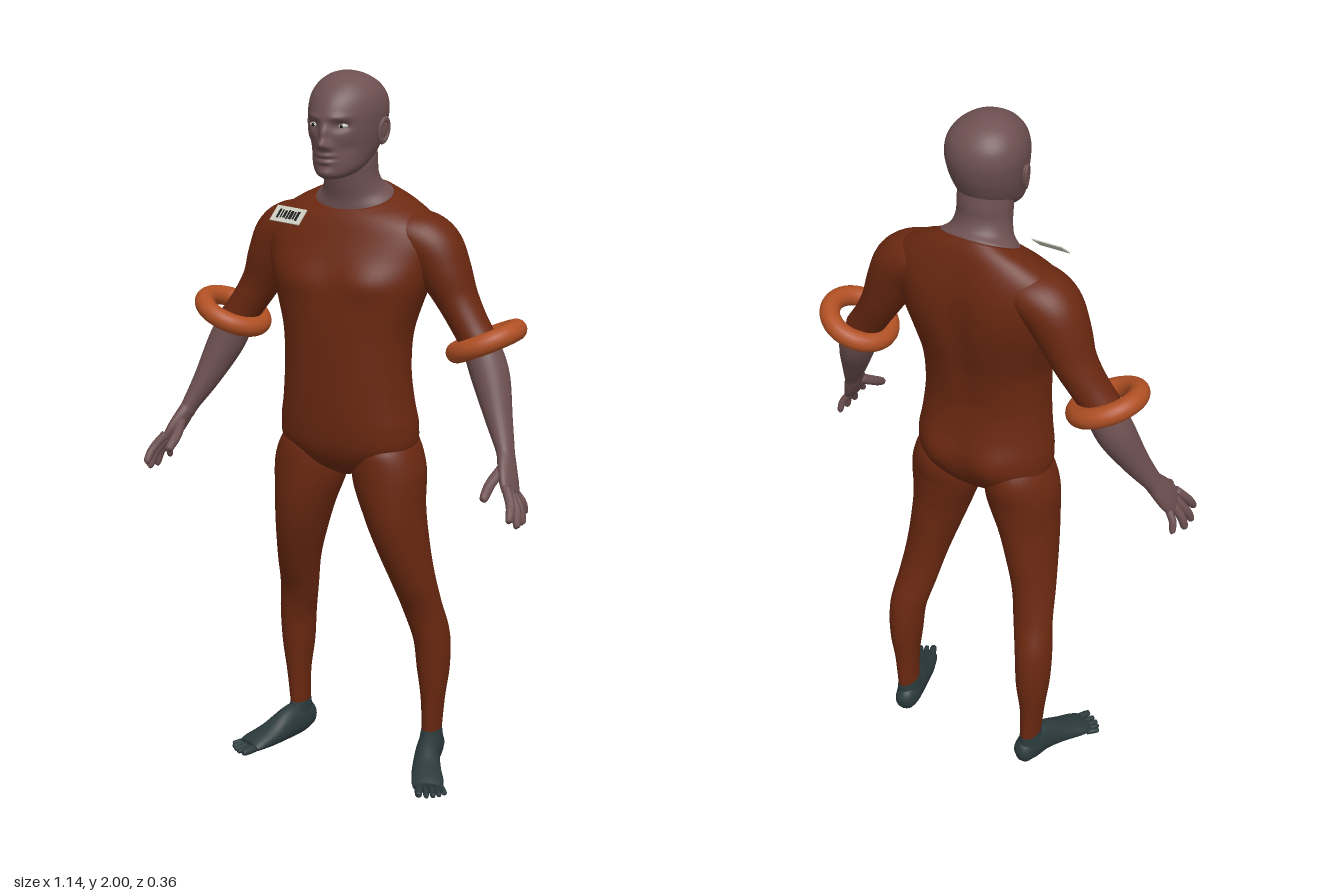
import * as THREE from 'three';

const mat = (name, color) => Object.assign(new THREE.MeshStandardMaterial({ color }), { name });

// Catmull-Rom interpolation of rows of section numbers
function smooth(rows, steps) {
  const out = [];
  const last = rows.length - 1;
  for (let i = 0; i < last; i++) {
    const [p, a, b, n] = [rows[Math.max(i - 1, 0)], rows[i], rows[i + 1], rows[Math.min(i + 2, last)]];
    for (let k = 0; k < steps; k++) {
      const t = k / steps;
      out.push(a.map((v, j) => {
        const quad = 2 * p[j] - 5 * v + 4 * b[j] - n[j];
        const cubic = 3 * (v - b[j]) + n[j] - p[j];
        return v + 0.5 * t * (b[j] - p[j] + t * (quad + t * cubic));
      }));
    }
  }
  out.push(rows[last]);
  return out;
}

// Closed smooth skin over rings of points, with a cap at each end
function skinRings(rings) {
  const n = rings[0].length, pos = [], idx = [];
  rings.forEach(r => r.forEach(p => pos.push(p.x, p.y, p.z)));
  for (let i = 0; i < rings.length - 1; i++) {
    for (let j = 0; j < n; j++) {
      const a = i * n + j, b = i * n + (j + 1) % n;
      idx.push(a, b, a + n, b, b + n, a + n);
    }
  }
  [0, rings.length - 1].forEach((r, end) => {
    const c = rings[r].reduce((s, p) => s.add(p), new THREE.Vector3()).divideScalar(n);
    const ci = pos.length / 3;
    pos.push(c.x, c.y, c.z);
    for (let j = 0; j < n; j++) {
      const a = r * n + j, b = r * n + (j + 1) % n;
      idx.push(...(end ? [ci, a, b] : [ci, b, a]));
    }
  });
  const g = new THREE.BufferGeometry();
  g.setAttribute('position', new THREE.Float32BufferAttribute(pos, 3));
  g.setIndex(idx);
  g.computeVertexNormals();
  return g;
}

// Upright form; rows are [y, halfWidth, frontZ, backZ, tilt, taper]
function upright(rows, sides, steps, e = 1) {
  const pw = v => Math.sign(v) * Math.abs(v) ** e;
  return skinRings(smooth(rows, steps).map(([y, w, f, b, tilt, taper]) =>
    Array.from({ length: sides }, (_, j) => {
      const t = j / sides * Math.PI * 2, c = pw(Math.cos(t));
      const z = (f + b) / 2 + (f - b) / 2 * c;
      return new THREE.Vector3(w * pw(Math.sin(t)) * (1 - taper * c), y - tilt * (z + 0.05), z);
    })));
}

// Limb along a path; rows are [x, y, z, radiusAcross, radiusAlongRef]
function limb(rows, s = 1, sides = 24, steps = 6, ref = new THREE.Vector3(0, 0, 1), floor = -1) {
  const r = smooth(rows, steps);
  const c = r.map(q => new THREE.Vector3(q[0] * s, q[1], q[2]));
  return skinRings(r.map((q, i) => {
    const T = c[Math.min(i + 1, c.length - 1)].clone().sub(c[Math.max(i - 1, 0)]).normalize();
    const B = ref.clone().addScaledVector(T, -ref.dot(T)).normalize();
    const A = B.clone().cross(T);
    return Array.from({ length: sides }, (_, j) => {
      const t = j / sides * Math.PI * 2;
      const p = c[i].clone().addScaledVector(A, Math.cos(t) * q[3]).addScaledVector(B, Math.sin(t) * q[4]);
      p.y = Math.max(p.y, floor);
      return p;
    });
  }));
}

// Push vertices in z by soft mirrored bumps [x, y, z, radiusX, radiusY, push]
function bump(g, list) {
  const p = g.attributes.position;
  for (let i = 0; i < p.count; i++) {
    const [x, y, z] = [Math.abs(p.getX(i)), p.getY(i), p.getZ(i)];
    let d = 0;
    for (const [bx, by, bz, rx, ry, push] of list) {
      const dist = ((x - bx) / rx) ** 2 + ((y - by) / ry) ** 2 + ((z - bz) / 0.07) ** 2;
      d += push * Math.exp(-dist);
    }
    p.setZ(i, z + d);
  }
  g.computeVertexNormals();
  return g;
}

// Tapered finger or toe between two points, bowed at the middle
function digit(a, b, r, s, bow = 0) {
  const m = a.map((v, i) => (v + b[i]) / 2 + (i === 0 ? bow : 0));
  const e = a.map((v, i) => v + (b[i] - v) * 0.93);
  return limb([[...a, r, r], [...m, r, r], [...e, r * 0.8, r * 0.8], [...b, r * 0.25, r * 0.25]], s, 10, 4);
}

export function createModel() {
  const suit = mat('suit', 0x6a2810), skin = mat('skin', 0x6e5051), shoe = mat('footCover', 0x2b3a3c);
  const band = mat('band', 0xb05024), white = mat('paleWhite', 0xc9c8bb), dark = mat('dark', 0x15181a);
  const root = new THREE.Group();
  const add = (name, g, m, parent = root) => {
    const mesh = new THREE.Mesh(g, m);
    mesh.name = name;
    parent.add(mesh);
    return mesh;
  };

  // Torso, with chest, seat and spine relief
  add('torso', bump(upright([
    [0.895, 0.03, 0.02, -0.07, 0, 0], [0.93, 0.12, 0.07, -0.115, 0, 0], [0.98, 0.19, 0.1, -0.14, 0, 0],
    [1.04, 0.198, 0.112, -0.15, 0, 0], [1.11, 0.187, 0.117, -0.143, 0, 0], [1.2, 0.179, 0.12, -0.135, 0, 0],
    [1.3, 0.182, 0.122, -0.145, 0, 0], [1.38, 0.203, 0.12, -0.162, 0, 0], [1.45, 0.228, 0.108, -0.172, 0, 0],
    [1.52, 0.245, 0.085, -0.175, 0, 0], [1.57, 0.25, 0.066, -0.172, 0.02, 0], [1.61, 0.23, 0.053, -0.163, 0.1, 0],
    [1.645, 0.175, 0.042, -0.148, 0.25, 0], [1.67, 0.112, 0.03, -0.128, 0.4, 0],
  ], 64, 6, 0.88), [
    [0.1, 1.46, 0.1, 0.08, 0.05, 0.016], [0.09, 1.02, -0.14, 0.07, 0.07, -0.02],
    [0, 1.4, -0.17, 0.03, 0.2, 0.012], [0.11, 1.5, -0.17, 0.07, 0.1, -0.008],
  ]), suit);

  // Neck
  add('neck', upright([
    [1.655, 0.118, 0.03, -0.128, 0.4, 0], [1.672, 0.109, 0.03, -0.125, 0.4, 0], [1.695, 0.085, 0.032, -0.108, 0.35, 0],
    [1.73, 0.074, 0.042, -0.097, 0.25, 0], [1.77, 0.073, 0.05, -0.096, 0.1, 0], [1.82, 0.07, 0.05, -0.09, 0, 0],
  ], 48, 6), skin);

  // Head, with facial relief
  const head = new THREE.Group();
  head.name = 'head';
  root.add(head);
  add('skull', bump(upright([
    [1.73, 0.025, 0.115, 0.03, 0, 0], [1.74, 0.048, 0.126, 0, 0, 0.05], [1.76, 0.066, 0.129, -0.04, 0, 0.1],
    [1.79, 0.079, 0.13, -0.082, 0, 0.15], [1.83, 0.091, 0.131, -0.105, 0, 0.18], [1.87, 0.099, 0.131, -0.118, 0, 0.18],
    [1.905, 0.102, 0.126, -0.121, 0, 0.18], [1.94, 0.096, 0.108, -0.112, 0, 0.15], [1.97, 0.076, 0.078, -0.088, 0, 0.1],
    [1.99, 0.046, 0.042, -0.054, 0, 0], [1.998, 0.02, 0.016, -0.024, 0, 0], [2, 0.004, 0.002, -0.006, 0, 0],
  ], 112, 9), [
    [0, 1.822, 0.14, 0.013, 0.013, 0.026], [0, 1.85, 0.14, 0.011, 0.022, 0.014], [0.015, 1.816, 0.14, 0.008, 0.008, 0.008],
    [0.041, 1.868, 0.12, 0.02, 0.013, -0.013], [0.035, 1.89, 0.12, 0.028, 0.008, 0.006],
    [0, 1.793, 0.13, 0.024, 0.006, 0.008], [0, 1.776, 0.13, 0.02, 0.006, 0.008],
    [0, 1.785, 0.13, 0.028, 0.003, -0.004], [0, 1.747, 0.13, 0.022, 0.012, 0.007], [0.055, 1.81, 0.1, 0.02, 0.02, -0.007],
  ]), skin, head);

  // Chest tag, tilted, with plain printed bars
  const tag = new THREE.Group();
  tag.name = 'chestTag';
  tag.position.set(-0.133, 1.62, 0.082);
  tag.rotation.set(-0.85, 0, -0.1);
  root.add(tag);
  add('tagPlate', new THREE.BoxGeometry(0.092, 0.052, 0.003), white, tag);
  [5, 3, 6, 4, 7, 4, 6].forEach((w, i) => {
    add('tagBar', new THREE.BoxGeometry(w * 0.0012, 0.03 - (i % 3) * 0.003, 0.002), dark, tag)
      .position.set((i - 3) * 0.0095, 0, 0.0015);
  });

  for (const s of [1, -1]) {
    const side = s > 0 ? 'left' : 'right';

    // Eyes and ears
    const eye = add(side + 'Eye', new THREE.SphereGeometry(0.012, 20, 12), white, head);
    eye.position.set(s * 0.041, 1.869, 0.1025);
    eye.scale.set(1.1, 0.5, 1);
    const iris = add(side + 'Iris', new THREE.SphereGeometry(0.005, 12, 8), dark, head);
    iris.position.set(s * 0.041, 1.869, 0.1115);
    iris.scale.z = 0.7;
    const ear = new THREE.Group();
    ear.name = side + 'Ear';
    ear.position.set(s * 0.103, 1.85, -0.003);
    ear.rotation.set(-0.15, -s * 0.3, -s * 0.12);
    head.add(ear);
    add('earBody', new THREE.SphereGeometry(1, 16, 12).scale(0.009, 0.034, 0.019), skin, ear);
    add('earRim', new THREE.TorusGeometry(0.017, 0.005, 8, 24).rotateY(Math.PI / 2).scale(1, 1.7, 1), skin, ear)
      .position.x = s * 0.005;

    // Arm: sleeve, forearm and band
    add(side + 'Sleeve', limb([
      [0.12, 1.595, -0.06, 0.04, 0.08], [0.175, 1.575, -0.062, 0.066, 0.09], [0.225, 1.54, -0.065, 0.077, 0.087],
      [0.262, 1.475, -0.066, 0.07, 0.077], [0.297, 1.405, -0.068, 0.056, 0.064], [0.337, 1.34, -0.062, 0.05, 0.056],
      [0.375, 1.285, -0.055, 0.05, 0.054],
    ], s, 32), suit);
    add(side + 'Forearm', limb([
      [0.36, 1.305, -0.057, 0.045, 0.05], [0.385, 1.26, -0.052, 0.051, 0.055], [0.412, 1.2, -0.038, 0.05, 0.054],
      [0.45, 1.11, -0.002, 0.036, 0.041], [0.483, 1.04, 0.032, 0.024, 0.031], [0.492, 1.015, 0.045, 0.022, 0.031],
    ], s, 28), skin);
    add(side + 'Band', new THREE.TorusGeometry(0.086, 0.028, 20, 56).rotateX(Math.PI / 2).rotateZ(s * 0.42), band)
      .position.set(s * 0.388, 1.303, -0.054);

    // Hand
    const hand = new THREE.Group();
    hand.name = side + 'Hand';
    root.add(hand);
    add('palm', limb([
      [0.488, 1.03, 0.037, 0.022, 0.029], [0.5, 1, 0.056, 0.021, 0.038], [0.514, 0.967, 0.077, 0.019, 0.043],
      [0.526, 0.94, 0.092, 0.014, 0.04],
    ], s, 20), skin, hand);
    [[[0.52, 0.965, 0.115], [0.555, 0.888, 0.17]], [[0.524, 0.95, 0.1], [0.565, 0.865, 0.138]],
      [[0.524, 0.945, 0.084], [0.565, 0.862, 0.098]], [[0.52, 0.945, 0.064], [0.553, 0.875, 0.045]],
    ].forEach(([a, b], i) => add('finger', digit(a, b, i === 3 ? 0.0105 : 0.0125, s, 0.008), skin, hand));
    add('thumb', digit([0.493, 1, 0.07], [0.478, 0.937, 0.17], 0.0145, s, -0.006), skin, hand);

    // Leg
    add(side + 'Leg', limb([
      [0.1, 1.03, -0.03, 0.06, 0.09], [0.113, 0.97, -0.03, 0.09, 0.112], [0.122, 0.9, -0.022, 0.103, 0.109],
      [0.14, 0.8, -0.02, 0.085, 0.102], [0.16, 0.7, -0.033, 0.071, 0.089], [0.18, 0.6, -0.054, 0.061, 0.07],
      [0.197, 0.5, -0.085, 0.057, 0.054], [0.216, 0.4, -0.112, 0.052, 0.059], [0.22, 0.3, -0.12, 0.046, 0.057],
      [0.22, 0.2, -0.12, 0.033, 0.046], [0.217, 0.095, -0.122, 0.026, 0.042],
    ], s, 36), suit);

    // Foot with toes
    const foot = new THREE.Group();
    foot.name = side + 'Foot';
    root.add(foot);
    add('ankle', limb([
      [0.217, 0.104, -0.122, 0.027, 0.043], [0.217, 0.075, -0.12, 0.031, 0.047], [0.218, 0.04, -0.118, 0.034, 0.05],
    ], s), shoe, foot);
    add('sole', limb([
      [0.207, 0.032, -0.175, 0.01, 0.016], [0.21, 0.036, -0.162, 0.028, 0.035], [0.216, 0.046, -0.125, 0.036, 0.05],
      [0.23, 0.045, -0.065, 0.036, 0.05], [0.254, 0.03, -0.005, 0.042, 0.034], [0.28, 0.02, 0.045, 0.046, 0.022],
      [0.291, 0.015, 0.07, 0.042, 0.014],
    ], s, 24, 6, new THREE.Vector3(0, 1, 0), 0), shoe, foot);
    [[0.264, 0.07, 0.285, 0.118], [0.284, 0.07, 0.306, 0.11], [0.3, 0.063, 0.322, 0.1],
      [0.312, 0.054, 0.335, 0.087], [0.32, 0.042, 0.345, 0.07],
    ].forEach(([x, z, tx, tz], i) => {
      const r = i ? 0.0085 : 0.0115;
      add('toe', digit([x, r + 0.003, z], [tx, r, tz], r, s), shoe, foot);
    });
  }
  return root;
}
